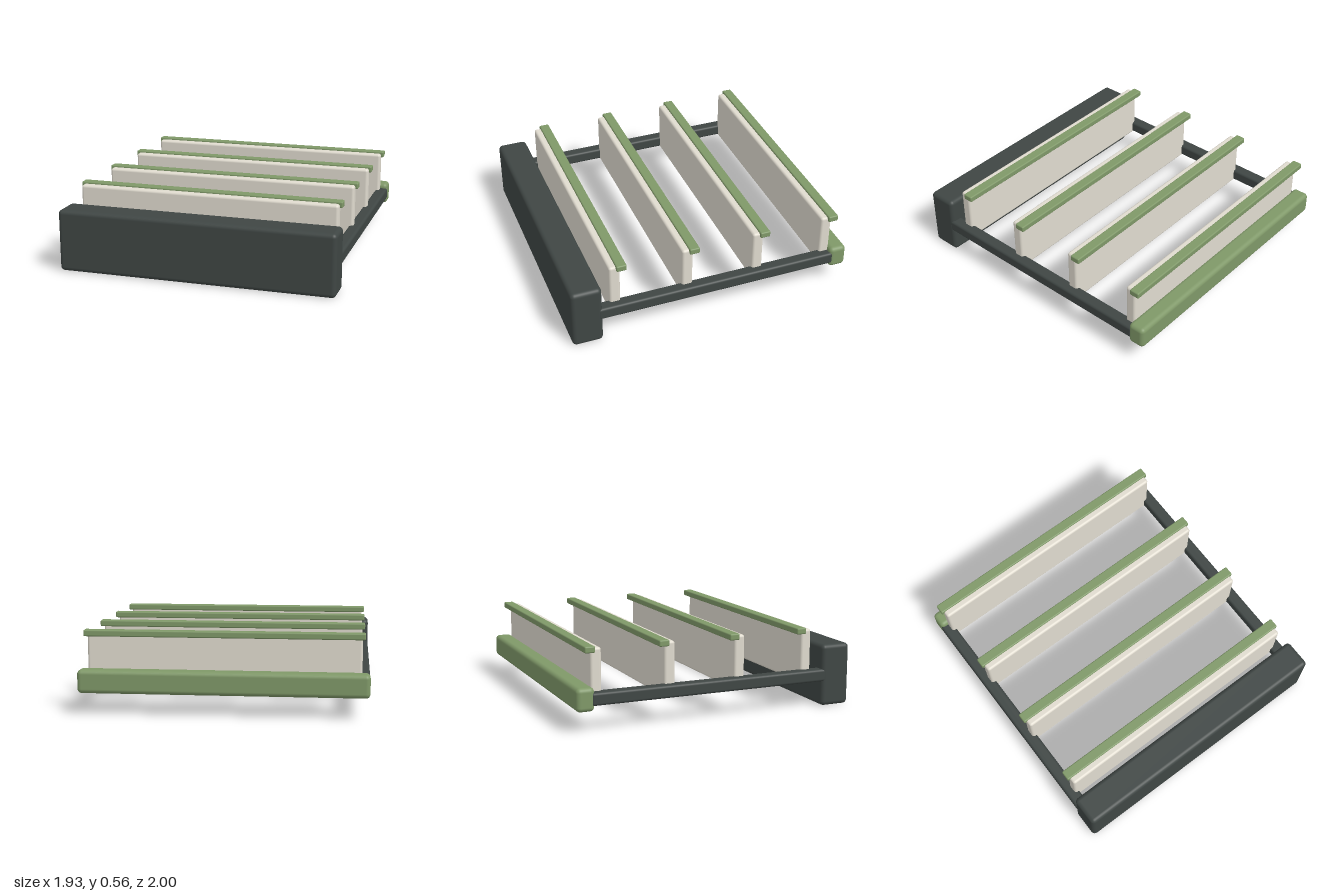
import * as THREE from 'three';
import { RoundedBoxGeometry } from 'three/addons/geometries/RoundedBoxGeometry.js';

const dark = new THREE.MeshStandardMaterial({ color: 0x3f4644 });
const green = new THREE.MeshStandardMaterial({ color: 0x7f9868 });
const cream = new THREE.MeshStandardMaterial({ color: 0xe0dbcf });

// Rounded block from its [min, max] extents on each axis
function block(name, [x0, x1], [y0, y1], [z0, z1], radius, material) {
  const geometry = new RoundedBoxGeometry(x1 - x0, y1 - y0, z1 - z0, 4, radius);
  const mesh = new THREE.Mesh(geometry, material);
  mesh.name = name;
  mesh.position.set((x0 + x1) / 2, (y0 + y1) / 2, (z0 + z1) / 2);
  return mesh;
}

export function createModel() {
  const model = new THREE.Group();
  model.name = 'dividerRack';

  // Frame: tall front panel, low back bar and two side rails
  model.add(block('frontPanel', [-0.965, 0.965], [0, 0.432], [0.787, 1], 0.03, dark));
  model.add(block('backBar', [-0.965, 0.965], [0.14, 0.297], [-1, -0.877], 0.03, green));
  model.add(block('leftRail', [0.88, 0.965], [0.175, 0.261], [-0.9, 0.82], 0.018, dark));
  model.add(block('rightRail', [-0.965, -0.88], [0.175, 0.261], [-0.9, 0.82], 0.018, dark));

  // Four upright dividers, each with a cap strip along its rear top edge
  for (let i = 0; i < 4; i++) {
    const divider = new THREE.Group();
    divider.name = `divider${i + 1}`;
    divider.position.z = 0.683 - i * 0.511;
    divider.add(block('panel', [-0.912, 0.912], [0.167, 0.543], [-0.038, 0.038], 0.018, cream));
    divider.add(block('capStrip', [-0.93, 0.93], [0.513, 0.556], [-0.08, -0.009], 0.009, green));
    model.add(divider);
  }
  return model;
}
